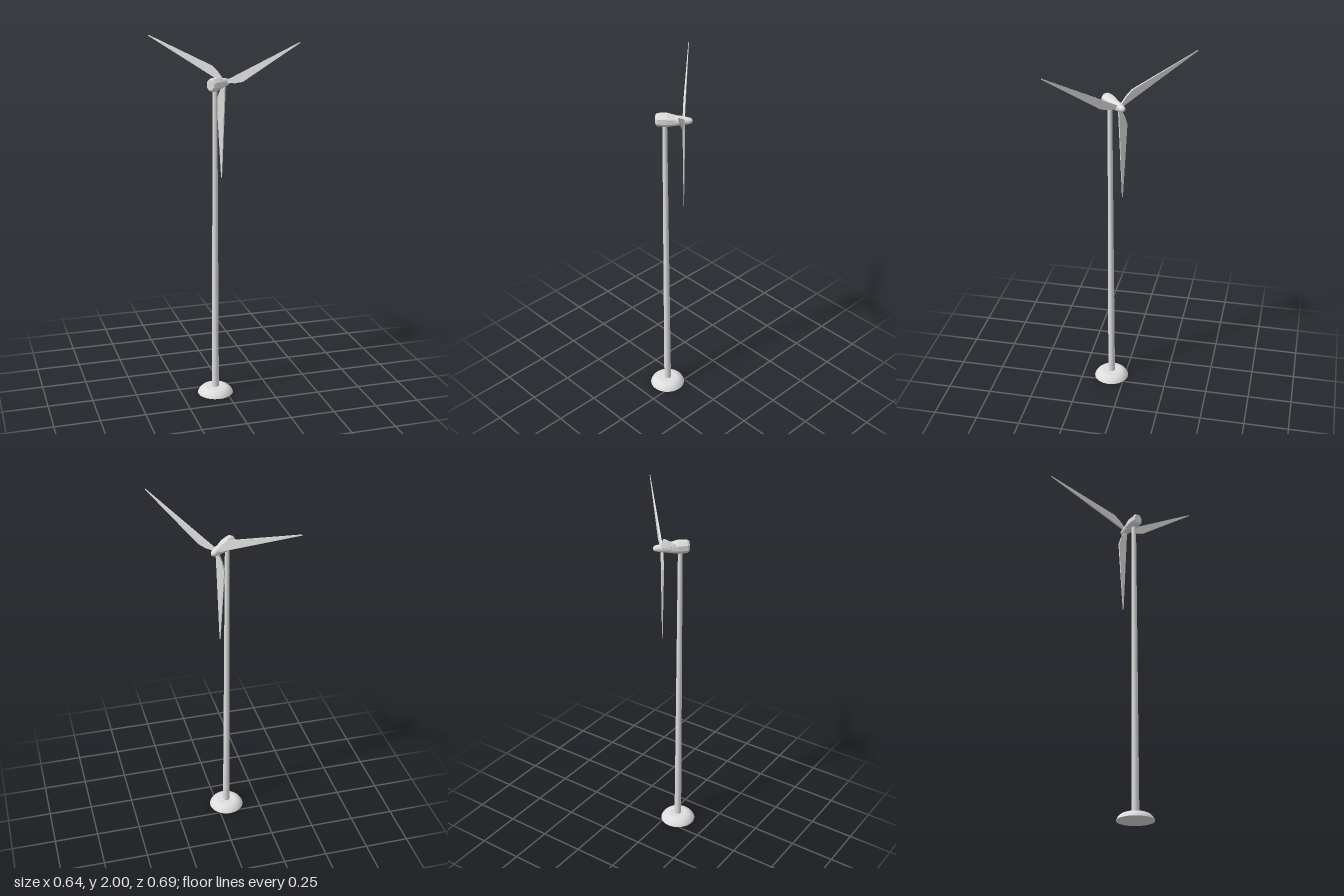
import * as THREE from 'three';

export function createModel() {
  const model = new THREE.Group();
  model.name = 'windTurbine';

  const paint = new THREE.MeshStandardMaterial({ color: 0xdedede });
  paint.name = 'paleGrey';
  // same colour, faceted for the housing and blades
  const facetPaint = paint.clone();
  facetPaint.flatShading = true;

  const add = (parent, name, geometry, material = paint) => {
    const mesh = new THREE.Mesh(geometry, material);
    mesh.name = name;
    parent.add(mesh);
    return mesh;
  };
  const lathe = (points, sides) =>
    new THREE.LatheGeometry(points.map(([r, y]) => new THREE.Vector2(r, y)), sides);

  // Foundation: shallow dome with a flat top and closed underside
  const stand = new THREE.Group();
  stand.name = 'stand';
  stand.position.set(-0.058, 0, 0.08);
  model.add(stand);
  add(stand, 'foundation', lathe(
    [[0.1, 0], [0.099, 0.004], [0.091, 0.018], [0.077, 0.031], [0.065, 0.036], [0.054, 0.038]], 40));
  const top = add(stand, 'foundationTop', new THREE.CircleGeometry(0.054, 40).rotateX(-Math.PI / 2));
  top.position.y = 0.038;
  add(stand, 'foundationUnderside', new THREE.CircleGeometry(0.1, 40).rotateX(Math.PI / 2));

  // Tapered tower
  const tower = add(stand, 'tower', new THREE.CylinderGeometry(0.0125, 0.02, 1.71, 24));
  tower.position.y = 0.03 + 1.71 / 2;

  // Head: local +z points out through the nose
  const head = new THREE.Group();
  head.name = 'head';
  head.position.set(0.0136, 1.76, 0.0147);
  head.rotation.y = Math.atan2(0.733, -0.68);
  model.add(head);

  // Housing: eight-sided loft, each ring is [z, half width, half height, centre y]
  const rings = [
    [-0.144, 0.021, 0.026, 0.003],
    [-0.132, 0.029, 0.033, 0.002],
    [-0.085, 0.032, 0.034, 0.002],
    [-0.03, 0.023, 0.024, 0],
  ];
  const housing = new THREE.CylinderGeometry(1, 1, 3, 8, 3, false, Math.PI / 8).rotateX(Math.PI / 2);
  const pos = housing.attributes.position;
  const flat = 1 / Math.cos(Math.PI / 8);
  for (let i = 0; i < pos.count; i++) {
    const [z, w, h, cy] = rings[Math.round(pos.getZ(i) + 1.5)];
    pos.setXYZ(i, pos.getX(i) * w * flat, cy + pos.getY(i) * h * flat, z);
  }
  housing.computeVertexNormals();
  add(head, 'housing', housing, facetPaint);

  // Spinner: tapered nose with a rounded tip
  add(head, 'spinner', lathe(
    [[0, -0.046], [0.026, -0.046], [0.027, -0.042], [0.024, -0.01], [0.019, 0.02],
      [0.016, 0.034], [0.011, 0.042], [0.005, 0.046], [0, 0.047]], 24).rotateX(Math.PI / 2));

  // Blades: straight edge on one side, broad shoulder on the other, thinning to the tip
  const tips = [[-0.443, 0.24], [0.49, 0.219], [0.017, -0.523]];
  tips.forEach(([tx, ty], i) => {
    const length = Math.hypot(tx, ty);
    const outline = [[0.005, -0.006], [0.06, -0.005], [length, -0.001], [length - 0.002, 0.004],
      [0.105, 0.043], [0.06, 0.031], [0.02, 0.012], [0.005, 0.008]];
    const shape = new THREE.Shape(outline.map(([x, y]) => new THREE.Vector2(x, y)));
    const blade = new THREE.ExtrudeGeometry(shape, { depth: 0.012, bevelEnabled: false });
    blade.translate(0, 0, -0.006);
    const p = blade.attributes.position;
    for (let k = 0; k < p.count; k++) p.setZ(k, p.getZ(k) * (1 - 0.78 * p.getX(k) / length));
    blade.computeVertexNormals();
    add(head, 'blade' + (i + 1), blade, facetPaint).rotation.z = Math.atan2(ty, tx);
  });

  return model;
}
